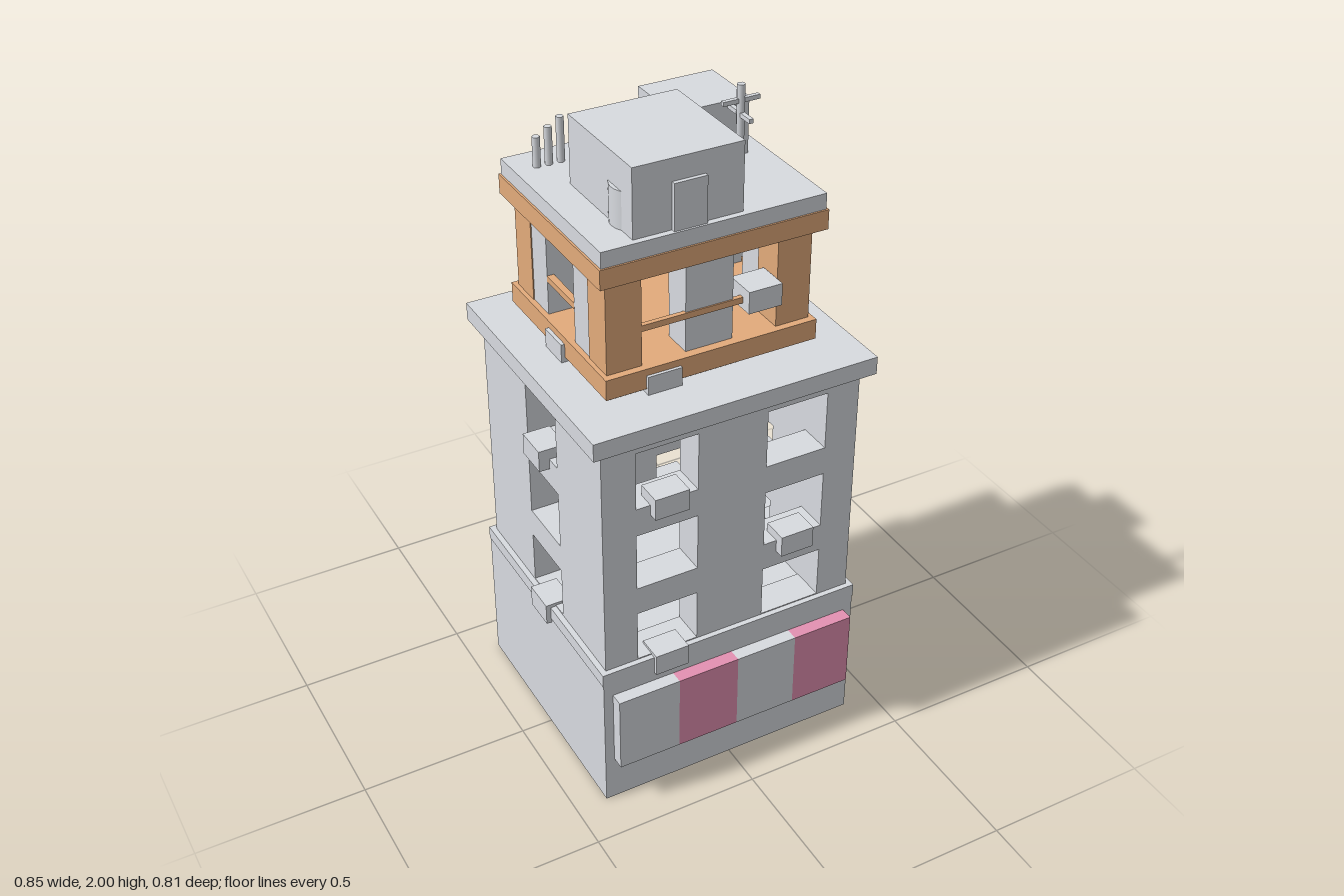
import * as THREE from 'three';

const concrete = new THREE.MeshStandardMaterial({ name: 'concrete', color: 0xd8dbe0 });
const orange = new THREE.MeshStandardMaterial({ name: 'orange', color: 0xe3ab7b });
const pink = new THREE.MeshStandardMaterial({ name: 'pink', color: 0xe491b2 });

export function createModel() {
  const model = new THREE.Group();
  model.name = 'towerBlock';

  const add = (name, geometry, material) => {
    const mesh = new THREE.Mesh(geometry, material);
    mesh.name = name;
    model.add(mesh);
    return mesh;
  };
  // Box given by its limits on each axis
  const box = (name, material, x0, x1, y0, y1, z0, z1) => {
    const mesh = add(name, new THREE.BoxGeometry(x1 - x0, y1 - y0, z1 - z0), material);
    mesh.position.set((x0 + x1) / 2, (y0 + y1) / 2, (z0 + z1) / 2);
    return mesh;
  };
  const cylinder = (name, r, x, y0, y1, z, sides) => {
    const mesh = add(name, new THREE.CylinderGeometry(r, r, y1 - y0, sides), concrete);
    mesh.position.set(x, (y0 + y1) / 2, z);
    return mesh;
  };
  // Upright wall panel with rectangular window holes, extruded along z
  const windowWall = (u0, u1, v0, v1, holes, depth) => {
    const rect = (path, a, b, c, d) =>
      path.moveTo(a, c).lineTo(b, c).lineTo(b, d).lineTo(a, d).closePath();
    const shape = new THREE.Shape();
    rect(shape, u0, u1, v0, v1);
    for (const [a, b, c, d] of holes) {
      const hole = new THREE.Path();
      rect(hole, a, b, c, d);
      shape.holes.push(hole);
    }
    return new THREE.ExtrudeGeometry(shape, { depth, bevelEnabled: false });
  };

  // Base and its top band
  box('base', concrete, -0.405, 0.405, 0, 0.43, -0.389, 0.365);
  box('baseBand', concrete, -0.407, 0.407, 0.43, 0.47, -0.391, 0.366);

  // Shop sign in four alternating panels
  for (let i = 0; i < 4; i++) {
    const x = -0.377 + i * 0.1885;
    box('signPanel', i % 2 ? pink : concrete, x, x + 0.1885, 0.145, 0.387, 0.36, 0.404);
  }

  // Hollow tower: front and back walls with two window columns, sides with one
  const rows = [[0.473, 0.633], [0.72, 0.898], [0.985, 1.163]];
  const wideHoles = rows.flatMap(([a, b]) => [[-0.29, -0.105, a, b], [0.105, 0.29, a, b]]);
  const sideHoles = rows.map(([a, b]) => [-0.085, 0.1, a, b]);
  const wide = windowWall(-0.39, 0.39, 0.47, 1.2, wideHoles, 0.1);
  add('frontWall', wide, concrete).position.z = 0.25;
  add('backWall', wide, concrete).position.z = -0.373;
  const side = windowWall(-0.25, 0.273, 0.47, 1.2, sideHoles, 0.1);
  for (const x of [-0.39, 0.29]) {
    const wall = add('sideWall', side, concrete);
    wall.rotation.y = Math.PI / 2;
    wall.position.x = x;
  }
  box('towerCornice', concrete, -0.423, 0.423, 1.2, 1.253, -0.405, 0.379);

  // Air conditioners on the tower, staggered and opposite at the back
  [0.416, 0.682, 0.953].forEach((y, i) => {
    const x = i % 2 ? 0.197 : -0.197;
    box('frontAirConditioner', concrete, x - 0.051, x + 0.051, y, y + 0.065, 0.3, 0.378);
    box('backAirConditioner', concrete, -x - 0.051, -x + 0.051, y, y + 0.065, -0.404, -0.32);
    if (i % 2) return;
    box('leftAirConditioner', concrete, 0.34, 0.421, y, y + 0.065, -0.062, 0.038);
    box('rightAirConditioner', concrete, -0.421, -0.34, y, y + 0.065, -0.062, 0.038);
  });

  // Upper storey: pad, orange slabs, orange corner columns and grey piers
  const cz = -0.046;
  box('upperPad', concrete, -0.3, 0.3, 1.253, 1.268, -0.31, 0.22);
  box('lowerOrangeSlab', orange, -0.315, 0.315, 1.268, 1.328, -0.329, 0.24);
  box('upperOrangeSlab', orange, -0.33, 0.33, 1.6, 1.657, -0.342, 0.25);
  box('roofSlab', concrete, -0.324, 0.324, 1.657, 1.703, -0.337, 0.245);
  for (const s of [-1, 1]) {
    const span = (a, b, c = 0) => [c + Math.min(s * a, s * b), c + Math.max(s * a, s * b)];
    const [pz0, pz1] = span(0.17, 0.26, cz);
    box('middlePier', concrete, -0.07, 0.07, 1.328, 1.6, pz0, pz1);
    box('endRail', orange, -0.2, 0.2, 1.428, 1.446, ...span(0.25, 0.264, cz));
    box('sideRail', orange, ...span(0.28, 0.3), 1.428, 1.446, -0.125, 0.035);
    for (const t of [-1, 1]) {
      const zs = (a, b) => [cz + Math.min(t * a, t * b), cz + Math.max(t * a, t * b)];
      box('cornerColumn', orange, ...span(0.2, 0.302), 1.328, 1.6, ...zs(0.168, 0.265));
      box('sidePier', concrete, ...span(0.205, 0.299), 1.328, 1.6, ...zs(0.08, 0.168));
    }
    // Air conditioners of the upper storey
    const x = s * 0.148;
    box('upperAirConditioner', concrete, x - 0.05, x + 0.05, 1.41, 1.475, ...span(0.2, 0.295, cz));
    box('slabAirConditioner', concrete, -x - 0.05, -x + 0.05, 1.25, 1.308, ...span(0.22, 0.295, cz));
    box('slabSideAirConditioner', concrete, ...span(0.25, 0.326), 1.25, 1.308, -0.094, 0.002);
  }

  // Roof huts and door
  box('largeRoofHut', concrete, -0.227, 0.087, 1.703, 1.898, -0.118, 0.227);
  box('smallRoofHut', concrete, 0.041, 0.266, 1.703, 1.866, -0.246, -0.052);
  box('roofDoor', concrete, -0.117, -0.023, 1.703, 1.835, 0.22, 0.239);

  // Tanks, vent wheel, duct and chimney pipes
  cylinder('waterTank', 0.056, 0.03, 1.703, 1.8, -0.22, 24);
  cylinder('wallTank', 0.063, -0.175, 1.703, 1.81, 0.135, 24);
  const vent = cylinder('wallVent', 0.038, 0.241, 1.77, 1.79, -0.181, 20);
  vent.rotation.x = Math.PI / 2;
  box('roofDuct', concrete, -0.19, 0.05, 1.778, 1.796, -0.19, -0.173);
  for (let i = 0; i < 3; i++) {
    cylinder('chimneyPipe', 0.011, -0.26 + i * 0.035, 1.703, 1.79 + i * 0.021, -0.247, 6);
  }

  // Antenna mast with two crossed bars
  cylinder('antennaMast', 0.011, 0.13, 1.703, 2, 0.13, 8);
  box('antennaBarX', concrete, 0.077, 0.183, 1.951, 1.963, 0.124, 0.136);
  box('antennaBarZ', concrete, 0.124, 0.136, 1.914, 1.926, 0.077, 0.183);

  return model;
}
